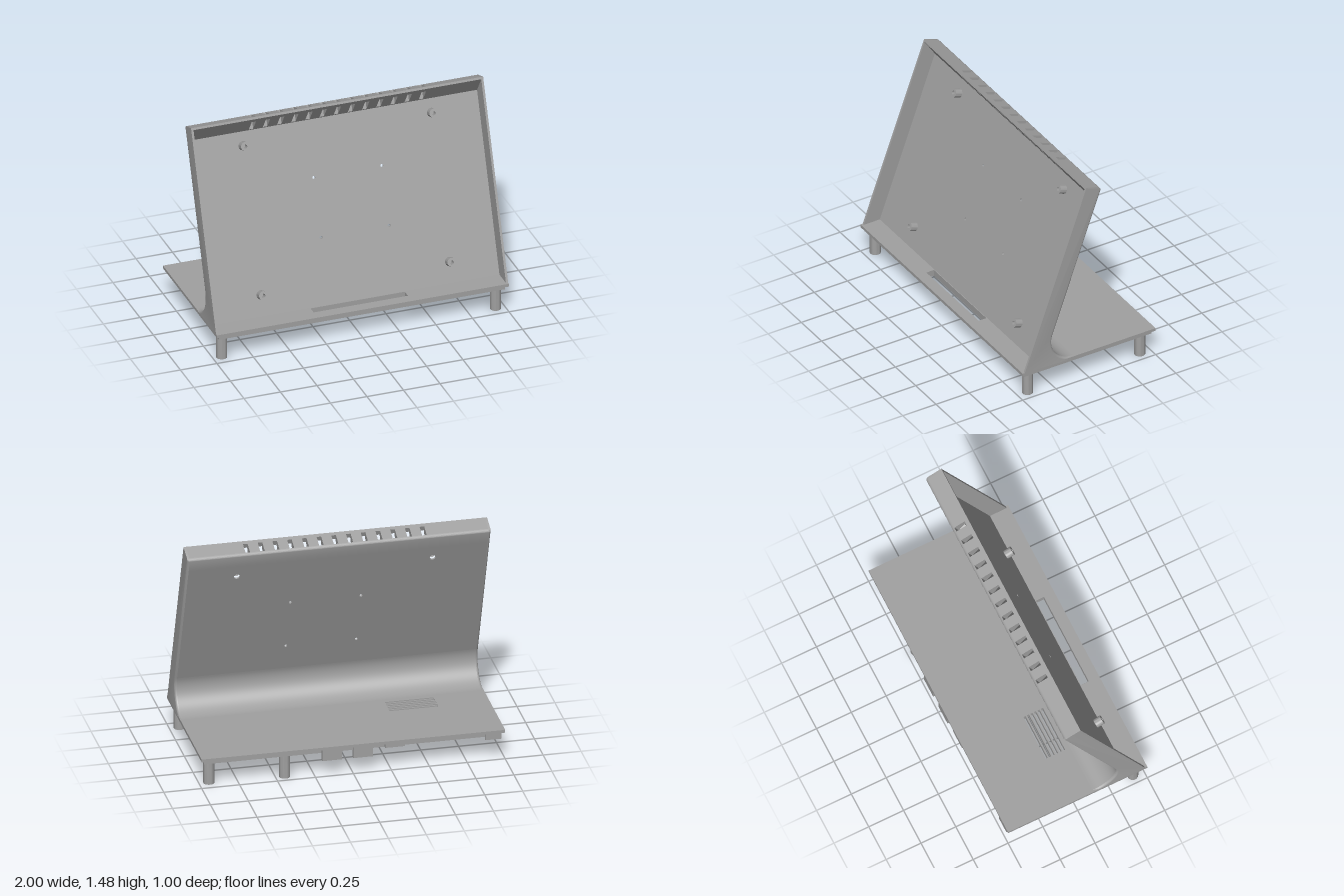
import * as THREE from 'three';
import { toCreasedNormals } from 'three/addons/utils/BufferGeometryUtils.js';

const grey = new THREE.MeshStandardMaterial({ color: 0xa0a0a0 });
grey.name = 'grey plastic';

const TILT = THREE.MathUtils.degToRad(20);
const WALL = 0.015;                 // cheek thickness
const INNER = 1 - WALL;             // half width between the cheeks
const H = 1.311, FRONT = 0.113;     // shell height and front rim, along the tilted axes
const T = 0.0117;                   // back panel thickness
const COVE = { z: -0.1767, y: 0.24, r: 0.165 };
const CEIL = 1.213;                 // where the sloping ceiling meets the panel
const ceilingY = z => CEIL + z * 0.735;

function add(parent, name, geometry, x = 0, y = 0, z = 0) {
  const m = new THREE.Mesh(geometry, grey);
  m.name = name;
  m.position.set(x, y, z);
  parent.add(m);
  return m;
}
const shapeOf = pts => new THREE.Shape(pts.map(p => new THREE.Vector2(p[0], p[1])));
const circle = (x, y, r) => new THREE.Path().absarc(x, y, r, 0, Math.PI * 2, true);
const rect = (x0, y0, x1, y1, P = THREE.Path) =>
  new P([[x0, y0], [x1, y0], [x1, y1], [x0, y1]].map(p => new THREE.Vector2(...p)));

// (z, y) profile swept along x
function sweep(pts, x0, x1) {
  const g = new THREE.ExtrudeGeometry(shapeOf(pts), { depth: x1 - x0, bevelEnabled: false });
  g.rotateY(-Math.PI / 2).translate(x1, 0, 0);
  return toCreasedNormals(g, 0.5);
}

function arc(cz, cy, r, a0, a1, n) {
  return Array.from({ length: n + 1 }, (_, i) => {
    const a = THREE.MathUtils.degToRad(a0 + (a1 - a0) * i / n);
    return [cz + r * Math.cos(a), cy + r * Math.sin(a)];
  });
}
const coveArc = arc(COVE.z, COVE.y, COVE.r, 0, -110, 24);
const topArc = arc(0.008, H - 0.02, 0.02, 90, 180, 6).map(([z, y]) => [Math.max(z, -T), y]);

// Cheek whose back edge is rounded over its thickness
function cheek(side) {
  const pts = [[FRONT, -0.041], [FRONT, H], ...topArc, ...coveArc];
  const g = new THREE.ExtrudeGeometry(shapeOf(pts), { depth: 1, steps: 5, bevelEnabled: false });
  const p = g.attributes.position;
  for (let i = 0; i < p.count; i++) {
    let z = p.getX(i), y = p.getY(i);
    const d = p.getZ(i), phi = (side < 0 ? d : 1 - d) * Math.PI / 2;
    const inset = WALL * (1 - Math.cos(phi));
    if (y > COVE.y + 0.001) {
      z += inset * THREE.MathUtils.clamp((0.008 - z) / 0.02, 0, 1);
    } else if (z < 0) {
      const k = 1 + inset / COVE.r;
      z = COVE.z + (z - COVE.z) * k;
      y = COVE.y + (y - COVE.y) * k;
    }
    p.setXYZ(i, side * (INNER + WALL * Math.sin(phi)), y, z);
  }
  return toCreasedNormals(g, 0.6);
}

// Flat plate in x and z with holes
function plate(x, z0, z1, thick, holes) {
  const s = rect(-x, -z1, x, -z0, THREE.Shape);
  s.holes.push(...holes);
  const g = new THREE.ExtrudeGeometry(s, { depth: thick, bevelEnabled: false, curveSegments: 10 });
  return g.rotateX(-Math.PI / 2);
}

// Round post along y with a blind hole in its top end
function post(r, hole, len, depth) {
  const pts = [[r, 0], [r, len], [hole, len], [hole, len - depth], [0, len - depth]];
  return toCreasedNormals(
    new THREE.LatheGeometry(pts.map(p => new THREE.Vector2(...p)), 28), 0.6);
}

function buildScreenShell() {
  const shell = new THREE.Group();
  shell.name = 'screenShell';
  shell.position.set(0, 0.205, 0.363);
  shell.rotation.x = -TILT;

  add(shell, 'rightCheek', cheek(-1));
  add(shell, 'leftCheek', cheek(1));

  // Back panel with mounting holes
  const panel = rect(-INNER, COVE.y, INNER, CEIL, THREE.Shape);
  for (const x of [-0.18, 0.285]) for (const y of [0.4415, 0.835]) panel.holes.push(circle(x, y, 0.01));
  for (const x of [-0.63, 0.66]) panel.holes.push(circle(x, 1.12, 0.02));
  add(shell, 'backPanel',
    new THREE.ExtrudeGeometry(panel, { depth: T, bevelEnabled: false, curveSegments: 10 }), 0, 0, -T);

  // Curved foot blending the panel into the base
  add(shell, 'coveFoot', sweep([[0, 0], [0, COVE.y], ...coveArc], -INNER, INNER));

  // Screen standoffs
  for (const x of [-0.63, 0.66]) for (const y of [0.1415, 1.12]) {
    add(shell, 'standoff', post(0.03, 0.013, 0.055, 0.045), x, y, -0.005).rotation.x = Math.PI / 2;
  }

  // Top wall: rear and front rails joined by bars, leaving the vents open
  const zr = 0.008, zf = 0.086;
  add(shell, 'topRearRail',
    sweep([[zr, ceilingY(zr)], ...topArc, [-T, CEIL], [0, CEIL]], -INNER, INNER));
  add(shell, 'topFrontRail',
    sweep([[zf, ceilingY(zf)], [FRONT, ceilingY(FRONT)], [FRONT, H], [zf, H]], -INNER, INNER));
  const bar = [[zr, ceilingY(zr)], [zf, ceilingY(zf)], [zf, H], [zr, H]];
  let start = -INNER;
  for (let i = 0; i <= 13; i++) {
    const c = -0.565 + i * 0.097;
    add(shell, 'ventBar', sweep(bar, start, i < 13 ? c - 0.015 : INNER));
    start = c + 0.015;
  }
  return shell;
}

function buildBase() {
  const base = new THREE.Group();
  base.name = 'base';

  // Cable slot and grille cut through both plates
  const cuts = () => {
    const list = [rect(-0.31, -0.425, 0.335, -0.368)];
    for (let i = 0; i < 6; i++) {
      const z = -0.052 + i * 0.025;
      list.push(rect(-0.66, -z - 0.007, -0.34, -z + 0.007));
    }
    return list;
  };
  const screws = [-0.82, -0.33, 0.32, 0.81].map(x => circle(x, -0.325, 0.012));
  add(base, 'topPlate', plate(1, -0.5, 0.5, 0.02, cuts()), 0, 0.185, 0);
  add(base, 'bottomPlate', plate(0.98, -0.48, 0.482, 0.025, [...cuts(), ...screws]), 0, 0.16, 0);

  // Legs with a screw hole underneath
  for (const [x, z] of [[-0.94, 0.425], [0.935, 0.425], [0.935, -0.42], [0.44, -0.44]]) {
    add(base, 'leg', post(0.036, 0.015, 0.16, 0.05), x, 0.16, z).rotation.x = Math.PI;
  }

  // Connector tabs hanging from the rear edge: x from, x to, bottom
  for (const [a, b, y] of [[-0.13, 0, 0.11], [0.075, 0.205, 0.11], [-0.34, -0.21, 0.16], [-0.975, -0.87, 0.145]]) {
    add(base, 'rearTab', new THREE.BoxGeometry(b - a, 0.186 - y, 0.021), (a + b) / 2, (0.186 + y) / 2, -0.4895);
  }
  return base;
}

export function createModel() {
  const model = new THREE.Group();
  model.name = 'tabletStand';
  model.add(buildBase(), buildScreenShell());
  return model;
}
